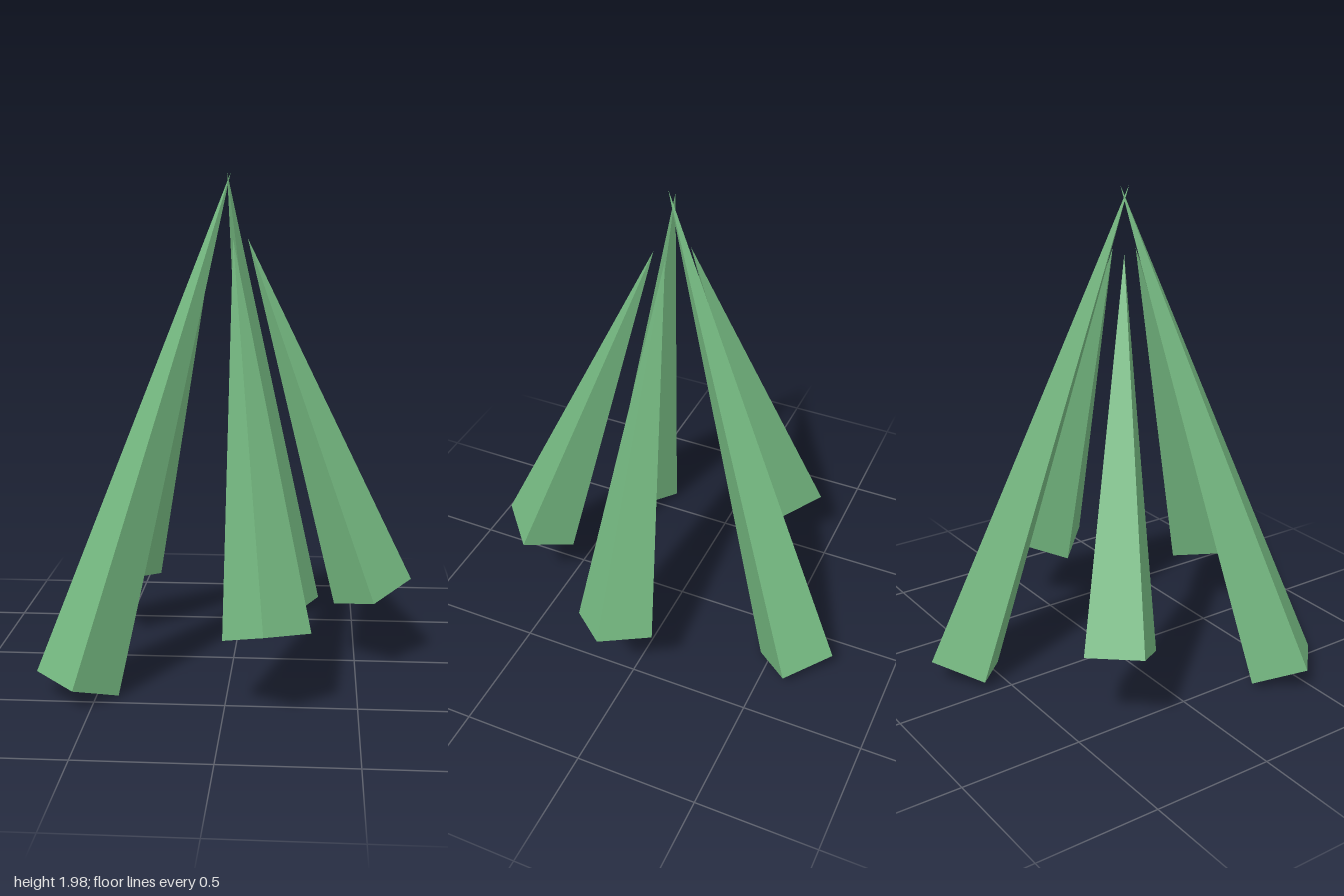
import * as THREE from 'three';

// Each spike runs from the centre of its square base up to its tip.
const SPIKES = [
  { name: 'leftSpike', base: [0.567, 0.32, 0.043], tip: [0.058, 1.737, 0.043] },
  { name: 'frontSpike', base: [0.161, 0.318, 0.605], tip: [0.005, 1.737, 0.114] },
  { name: 'frontRightSpike', base: [-0.57, 0.058, 0.45], tip: [-0.01, 1.988, 0.03] },
  { name: 'backRightSpike', base: [-0.496, 0.316, -0.305], tip: [-0.08, 1.737, 0] },
  { name: 'backSpike', base: [0.186, 0.058, -0.61], tip: [-0.021, 1.988, 0.064] },
];
const RADIUS = 0.164;

// Four-sided cone between two points, with one base diagonal kept in the xy plane
function makeSpike({ name, base, tip }, material) {
  const foot = new THREE.Vector3(...base);
  const axis = new THREE.Vector3(...tip).sub(foot);
  const height = axis.length();
  axis.normalize();
  const across = new THREE.Vector3(axis.y, -axis.x, 0).normalize();
  const outward = new THREE.Vector3().crossVectors(across, axis);

  const geometry = new THREE.ConeGeometry(RADIUS, height, 4);
  geometry.translate(0, height / 2, 0);
  const mesh = new THREE.Mesh(geometry, material);
  mesh.name = name;
  mesh.quaternion.setFromRotationMatrix(new THREE.Matrix4().makeBasis(across, axis, outward));
  mesh.position.copy(foot);
  return mesh;
}

export function createModel() {
  const group = new THREE.Group();
  group.name = 'spikeCluster';
  const green = new THREE.MeshStandardMaterial({ color: 0x74b880, flatShading: true });
  for (const spike of SPIKES) group.add(makeSpike(spike, green));
  return group;
}
